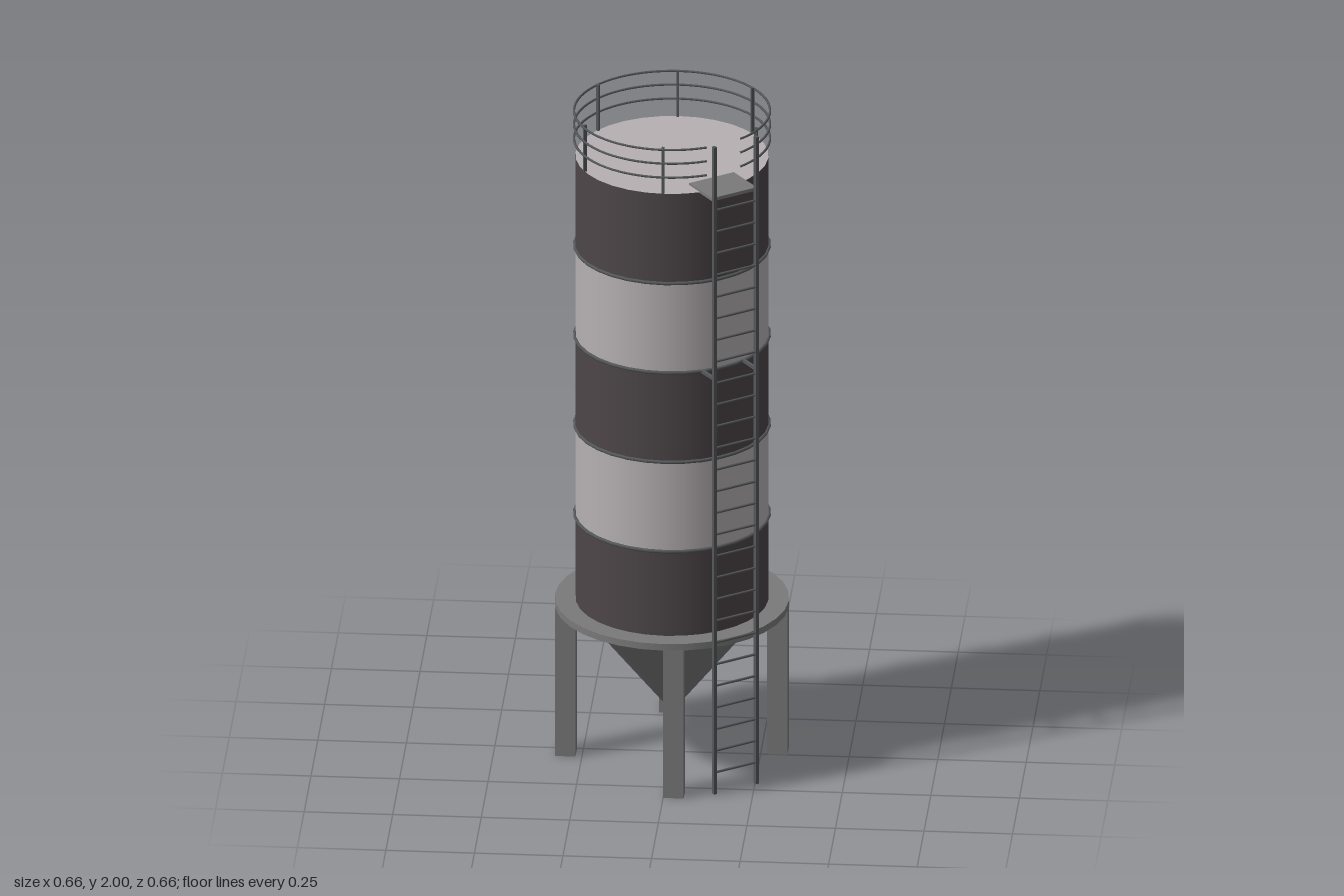
import * as THREE from 'three';

const paint = (color) => new THREE.MeshStandardMaterial({ color });
const DARK = paint(0x4d4649), LIGHT = paint(0xb6b0b2), STEEL = paint(0x7a7a7a), RAIL = paint(0x55585a);
const SEG = 32, R = 0.272, TOP = 1.835, DEG = Math.PI / 180;

function add(parent, name, geometry, material, x = 0, y = 0, z = 0) {
  const mesh = new THREE.Mesh(geometry, material);
  mesh.name = name;
  mesh.position.set(x, y, z);
  parent.add(mesh);
  return mesh;
}

function group(parent, name) {
  const g = new THREE.Group();
  g.name = name;
  parent.add(g);
  return g;
}

// Horizontal arc measured from the front (+z) towards +x
class Arc extends THREE.Curve {
  constructor(r, a0, a1) { super(); Object.assign(this, { r, a0, a1 }); }
  getPoint(t, out = new THREE.Vector3()) {
    const a = (this.a0 + (this.a1 - this.a0) * t) * DEG;
    return out.set(this.r * Math.sin(a), 0, this.r * Math.cos(a));
  }
}

export function createModel() {
  const model = new THREE.Group();
  model.name = 'silo';

  // Tank: alternating painted bands with a seam ring at each joint
  const tank = group(model, 'tank');
  const levels = [0.475, 0.735, 1.01, 1.285, 1.56, TOP];
  for (let i = 0; i < 5; i++) {
    const h = levels[i + 1] - levels[i];
    add(tank, 'tankBand', new THREE.CylinderGeometry(R, R, h, SEG, 1, true),
      i % 2 ? LIGHT : DARK, 0, levels[i] + h / 2);
    if (i > 0) {
      const ring = add(tank, 'seamRing', new THREE.TorusGeometry(R + 0.002, 0.005, 6, SEG), RAIL, 0, levels[i]);
      ring.rotation.x = Math.PI / 2;
    }
  }
  const lid = add(tank, 'lid', new THREE.CircleGeometry(R, SEG), LIGHT, 0, TOP);
  lid.rotation.x = -Math.PI / 2;

  // Base flange and discharge hopper
  add(model, 'baseFlange', new THREE.CylinderGeometry(0.33, 0.33, 0.02, SEG), STEEL, 0, 0.465);
  add(model, 'hopper', new THREE.CylinderGeometry(0.268, 0.002, 0.333, SEG), STEEL, 0, 0.2915);

  // Four legs, each set to one side of its axis
  for (let i = 0; i < 4; i++) {
    const pivot = group(model, 'leg');
    pivot.rotation.y = i * Math.PI / 2;
    add(pivot, 'legPost', new THREE.BoxGeometry(0.058, 0.457, 0.058), STEEL, 0.029, 0.2285, 0.297);
  }

  // Guard rail with an opening at the ladder
  const guard = group(model, 'guardRail');
  for (const y of [1.887, 1.93, 1.972]) {
    add(guard, 'guardBar', new THREE.TubeGeometry(new Arc(0.276, 48, 385), 64, 0.0035, 6), RAIL, 0, y);
  }
  for (const angle of [-1, 65.5, 127.5, 181, 235, 299]) {
    const a = angle * DEG;
    const post = add(guard, 'guardPost', new THREE.BoxGeometry(0.007, 0.142, 0.009), RAIL,
      0.27 * Math.sin(a), TOP + 0.071, 0.27 * Math.cos(a));
    post.rotation.y = a;
  }

  // Ladder assembly, turned to the front left
  const access = group(model, 'ladder');
  access.rotation.y = 36 * DEG;
  const cx = 0.005, half = 0.069, lz = 0.333;
  for (const s of [-1, 1]) {
    add(access, 'ladderRail', new THREE.BoxGeometry(0.01, 1.99, 0.012), RAIL, cx + s * half, 1.005, lz);
    add(access, 'wallBracket', new THREE.BoxGeometry(0.009, 0.009, 0.08), RAIL, cx + s * half, 1.285, 0.295);
  }
  for (let i = 0; i < 27; i++) {
    const rung = add(access, 'rung', new THREE.CylinderGeometry(0.0035, 0.0035, 2 * half, 6), RAIL, cx, 0.075 + i * 0.0665, lz);
    rung.rotation.z = Math.PI / 2;
  }

  // Landing plate at the top of the ladder
  add(access, 'platform', new THREE.BoxGeometry(0.147, 0.01, 0.124), STEEL, cx, TOP + 0.001, 0.266);

  return model;
}
